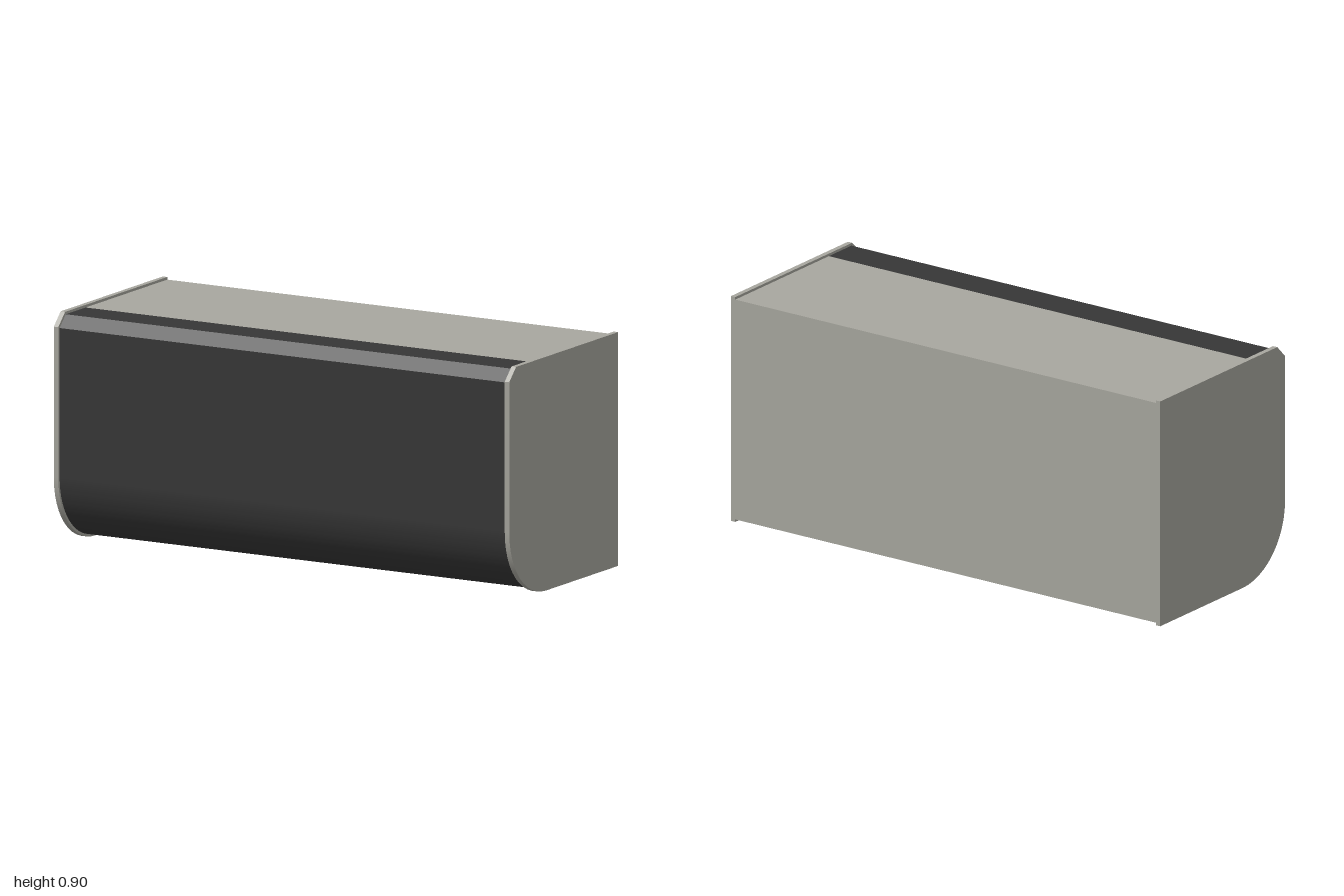
import * as THREE from 'three';
import { toCreasedNormals } from 'three/addons/utils/BufferGeometryUtils.js';

const shellGrey = new THREE.MeshStandardMaterial({ color: 0xa8a79f });
shellGrey.name = 'warmGrey';
const coverBlack = new THREE.MeshStandardMaterial({ color: 0x363636 });
coverBlack.name = 'charcoal';

// Extrudes a (z, y) cross-section along x, centred on the given x
function crossBar(name, shape, width, x, material, curveSegments) {
  let geometry = new THREE.ExtrudeGeometry(shape, { depth: width, bevelEnabled: false, curveSegments });
  geometry.translate(0, 0, -width / 2);
  geometry.rotateY(-Math.PI / 2);
  geometry = toCreasedNormals(geometry, 0.5);
  const mesh = new THREE.Mesh(geometry, material);
  mesh.name = name;
  mesh.position.x = x;
  return mesh;
}

// Rounded lower front and chamfered upper front; inset shrinks the front, top and bottom
function profile(backBottom, backTop, inset) {
  const front = 0.4 - inset, top = 0.9 - inset;
  const shape = new THREE.Shape();
  shape.moveTo(backBottom, inset);
  shape.lineTo(0.13, inset);
  shape.absarc(0.13, 0.27, 0.27 - inset, -Math.PI / 2, 0, false);
  shape.lineTo(front, 0.85 - inset / 2);
  shape.lineTo(0.35 - inset / 2, top);
  shape.lineTo(backTop, top);
  shape.closePath();
  return shape;
}

export function createModel() {
  const model = new THREE.Group();
  model.name = 'rollerCassette';

  // End plates
  for (const side of [-1, 1]) {
    const name = side > 0 ? 'leftEndPlate' : 'rightEndPlate';
    model.add(crossBar(name, profile(-0.4, -0.4, 0), 0.02, side * 0.99, shellGrey, 6));
  }

  // Grey rear housing
  const rear = new THREE.Shape([
    new THREE.Vector2(-0.4, 0.01), new THREE.Vector2(0.03, 0.01),
    new THREE.Vector2(0.2, 0.89), new THREE.Vector2(-0.4, 0.89),
  ]);
  model.add(crossBar('rearHousing', rear, 1.96, 0, shellGrey, 1));

  // Dark curved front cover
  model.add(crossBar('frontCover', profile(0.03, 0.2, 0.01), 1.96, 0, coverBlack, 24));

  return model;
}
